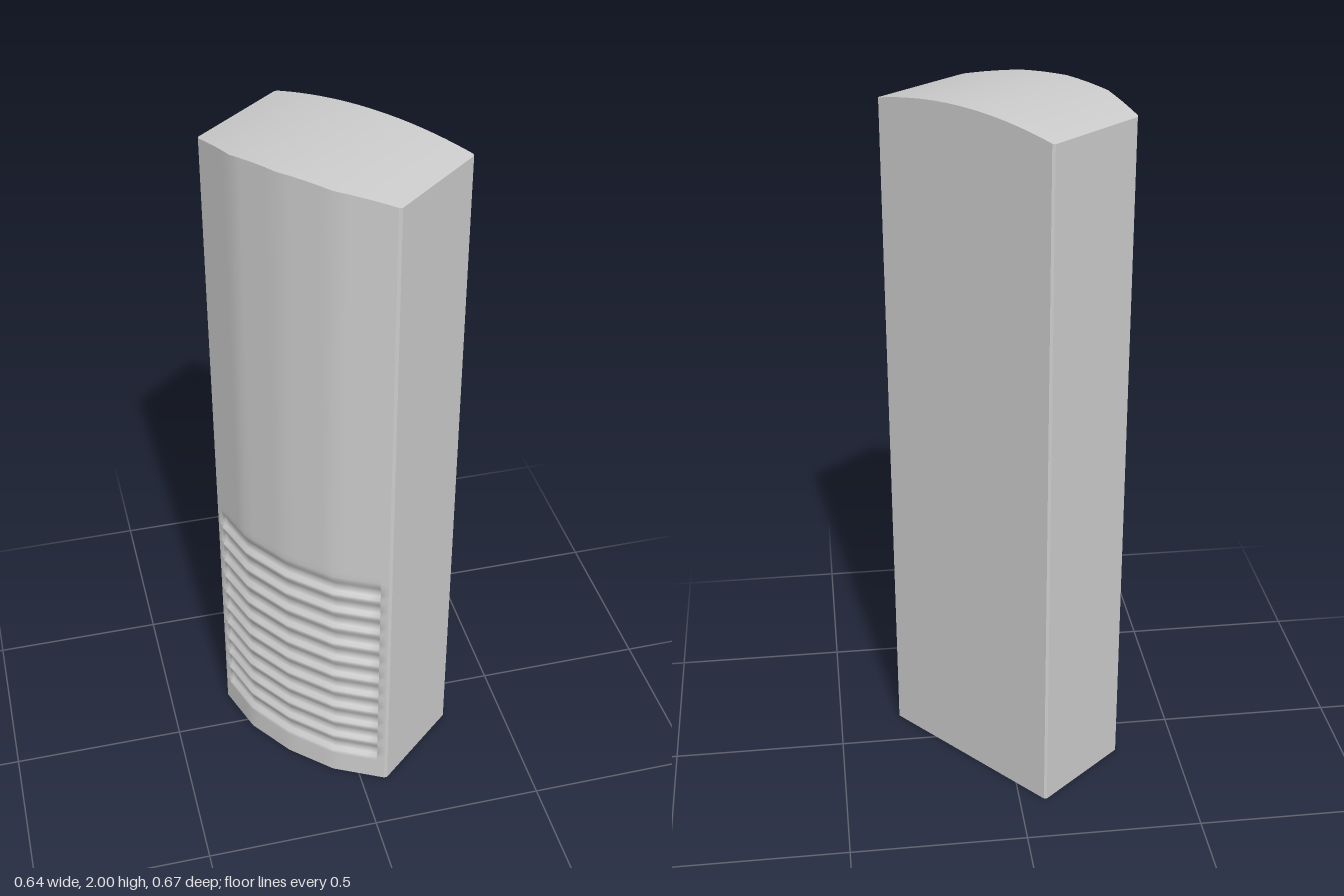
import * as THREE from 'three';
import { toCreasedNormals } from 'three/addons/utils/BufferGeometryUtils.js';

const material = new THREE.MeshStandardMaterial({ color: 0xcccccc, side: THREE.DoubleSide });

// half of the symmetric plan: [distance from middle, depth], front edge and back edge
const FRONT = [[0, 0.241], [0.154, 0.225], [0.301, 0.165], [0.307, 0.157]];
const BACK = [[0, -0.163], [0.301, -0.163], [0.307, -0.157]];
const VENT_HALF = 0.28, VENT_START = 0.085, PITCH = 0.0635, SLATS = 11;

function along(points, u) {
  const x = Math.abs(u);
  let i = 1;
  while (i < points.length - 1 && x > points[i][0]) i++;
  const [a, b] = [points[i - 1], points[i]];
  return a[1] + (b[1] - a[1]) * (x - a[0]) / (b[0] - a[0]);
}

// gently domed top
const topY = (u) => 2 - 0.035 * (u / 0.307) ** 2;

// grid of points; columns run to the right and rows run up, seen from outside
function surface(cols, rows, point) {
  const pos = [], index = [];
  for (let j = 0; j < rows; j++)
    for (let i = 0; i < cols; i++) pos.push(...point(i, j));
  for (let j = 0; j < rows - 1; j++)
    for (let i = 0; i < cols - 1; i++) {
      const a = j * cols + i, c = a + cols;
      index.push(a, a + 1, c + 1, a, c + 1, c);
    }
  const geo = new THREE.BufferGeometry();
  geo.setAttribute('position', new THREE.Float32BufferAttribute(pos, 3));
  geo.setIndex(index);
  geo.computeVertexNormals();
  return geo;
}

function mirrored(half) {
  return [...half.slice(1).reverse().map((u) => -u), ...half];
}

export function createModel() {
  const model = new THREE.Group();
  const cabinet = new THREE.Group();
  cabinet.name = 'cabinet';
  cabinet.rotation.y = -0.866;
  model.add(cabinet);
  const add = (name, geo) => {
    const mesh = new THREE.Mesh(geo, material);
    mesh.name = name;
    cabinet.add(mesh);
  };

  // front panel: bowed, with a stack of recessed slats near the bottom
  const frontU = mirrored([0, 0.04, 0.08, 0.12, 0.154, 0.19, 0.22, 0.25,
    VENT_HALF - 0.003, VENT_HALF, 0.301]);
  const profile = [[0, 0], [0.07, 0]];
  for (let s = 0; s < SLATS; s++) {
    const y = VENT_START + s * PITCH;
    profile.push([y, 0], [y + 0.005, -0.013], [y + 0.022, -0.015],
      [y + 0.036, -0.01], [y + 0.05, -0.002]);
  }
  const ventTop = VENT_START + SLATS * PITCH;
  profile.push([ventTop, 0], [ventTop + 0.02, 0], [1.9, 0], [2, 0]);
  add('frontPanel', surface(frontU.length, profile.length, (i, j) => {
    const u = frontU[i];
    const [y, depth] = profile[j];
    const recess = Math.abs(u) < VENT_HALF - 0.001 ? depth : 0;
    return [u, y === 2 ? topY(u) : y, along(FRONT, u) + recess];
  }));

  // side and back walls with narrow chamfered corners, open at the bottom
  const backU = mirrored([0, 0.05, 0.1, 0.15, 0.2, 0.25, 0.301]).reverse();
  const path = [
    [0.301, 0.165], [0.307, 0.157], [0.307, -0.157],
    ...backU.map((u) => [u, -0.163]),
    [-0.307, -0.157], [-0.307, 0.157], [-0.301, 0.165],
  ];
  const walls = surface(path.length, 2, (i, j) => {
    const [u, v] = path[i];
    return [u, j ? topY(u) : 0, v];
  });
  add('sideAndBackWalls', toCreasedNormals(walls, 0.3));

  // domed lid
  const lidU = mirrored([0, 0.04, 0.08, 0.12, 0.154, 0.19, 0.22, 0.25, 0.28, 0.301, 0.307]);
  add('topCover', surface(lidU.length, 2, (i, j) => {
    const u = lidU[i];
    return [u, topY(u), along(j ? BACK : FRONT, u)];
  }));

  return model;
}
